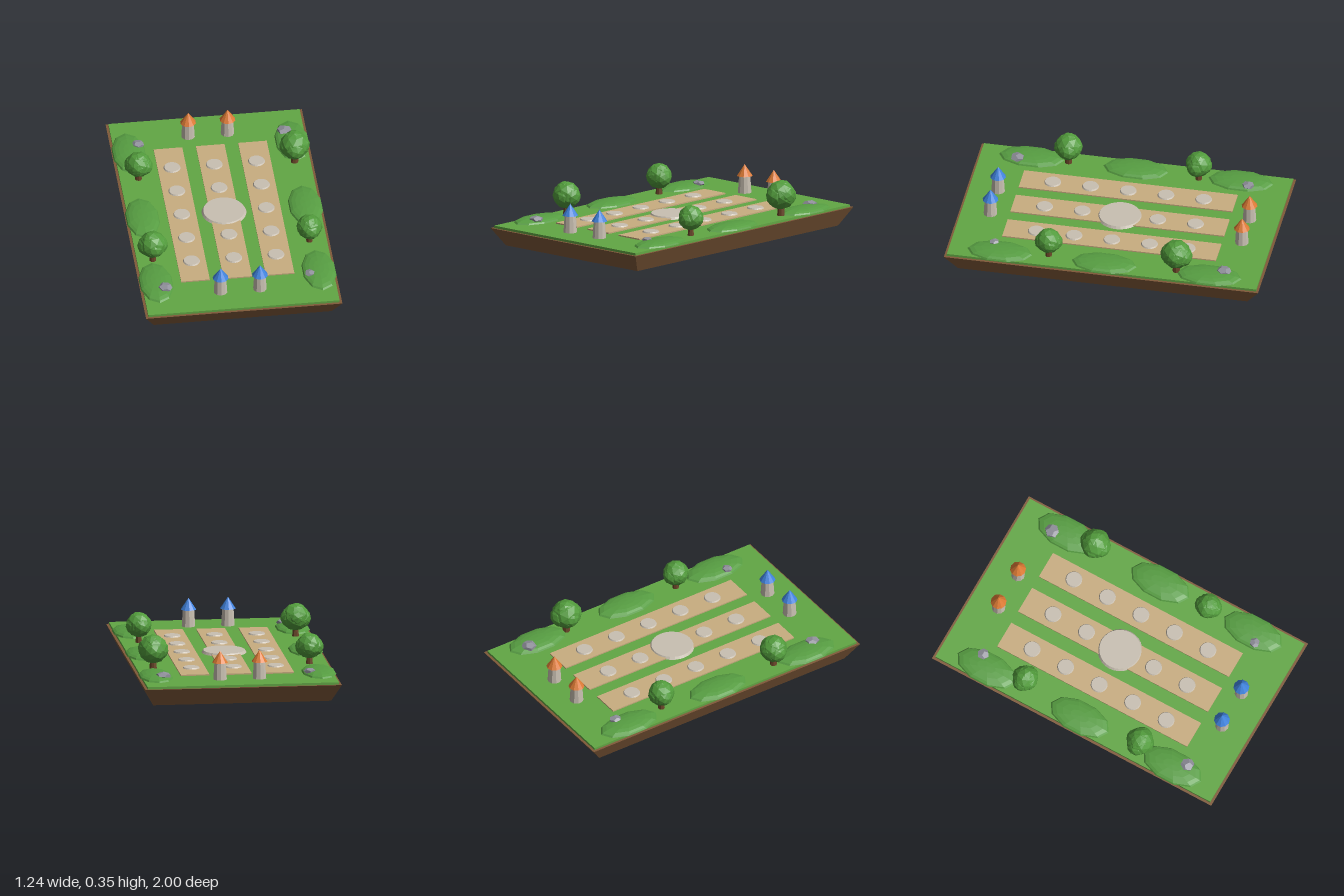
import * as THREE from 'three';

const material = (name, color, extra = {}) => {
  const m = new THREE.MeshStandardMaterial({ color, flatShading: true, ...extra });
  m.name = name;
  return m;
};

export function createModel() {
  const model = new THREE.Group();
  model.name = 'gardenArena';

  const soil = material('soil brown', 0x805a39);
  const grass = material('grass green', 0x62a744);
  const hill = material('hill green', 0x579e42);
  const leaf = material('leaf green', 0x529c3c);
  const bark = material('bark brown', 0x6b4629);
  const sand = material('sand', 0xc9ad80);
  const stone = material('pale stone', 0xc9c0b2);
  const blue = material('roof blue', 0x3f82dc);
  const orange = material('roof orange', 0xdc7a34);
  const rock = material('rock grey', 0x8f8f9a);

  const add = (parent, name, geometry, mat, x = 0, y = 0, z = 0) => {
    const mesh = new THREE.Mesh(geometry, mat);
    mesh.name = name;
    mesh.position.set(x, y, z);
    parent.add(mesh);
    return mesh;
  };

  // Soil slab, narrower at the bottom
  const slab = new THREE.BoxGeometry(1.236, 0.115, 2);
  const p = slab.attributes.position;
  for (let i = 0; i < p.count; i++) {
    if (p.getY(i) < 0) p.setXYZ(i, Math.sign(p.getX(i)) * 0.56, p.getY(i), Math.sign(p.getZ(i)) * 0.92);
  }
  slab.computeVertexNormals();
  add(model, 'soilBase', slab, soil, 0, 0.0575, 0);
  add(model, 'lawn', new THREE.BoxGeometry(1.204, 0.016, 1.968), grass, 0, 0.122, 0);

  // Three sandy lanes with round stone pads
  const padGeometry = new THREE.CylinderGeometry(0.048, 0.055, 0.011, 20);
  for (const x of [-0.266, 0, 0.266]) {
    add(model, 'lane', new THREE.BoxGeometry(0.18, 0.008, 1.36), sand, x, 0.134, 0);
    for (const z of [-0.48, -0.24, 0, 0.24, 0.48]) {
      add(model, 'stonePad', padGeometry, stone, x, 0.1405, z);
    }
  }
  add(model, 'centreDisc', new THREE.CylinderGeometry(0.13, 0.14, 0.016, 28), stone, 0, 0.138, 0);

  // Pairs of towers at both ends
  for (const [z, roof] of [[0.8, blue], [-0.8, orange]]) {
    for (const x of [-0.124, 0.124]) {
      const tower = new THREE.Group();
      tower.name = 'tower';
      tower.position.set(x, 0.13, z);
      add(tower, 'towerBody', new THREE.CylinderGeometry(0.036, 0.043, 0.11, 10), stone, 0, 0.055, 0);
      add(tower, 'towerRoof', new THREE.ConeGeometry(0.05, 0.074, 10), roof, 0, 0.144, 0);
      model.add(tower);
    }
  }

  // Low grassy hills along both long sides
  const hillGeometry = new THREE.SphereGeometry(1, 10, 5, 0, Math.PI * 2, 0, Math.PI / 2);
  for (const x of [-0.513, 0.513]) {
    for (const z of [-0.668, 0, 0.664]) {
      const mound = add(model, 'hill', hillGeometry, hill, x, 0.13, z);
      mound.rotation.y = Math.PI / 2;
      mound.scale.set(0.206, 0.03, 0.108);
    }
  }

  // Trees: a trunk and a crown of overlapping faceted lobes
  const lobes = [
    [0, 0, 0, 1], [0.36, -0.08, 0.12, 0.74], [-0.36, -0.05, -0.08, 0.74],
    [0.05, -0.05, -0.33, 0.72], [-0.1, 0.05, 0.32, 0.7], [0.08, 0.24, 0.02, 0.78],
  ];
  const trees = [
    [-0.487, -0.405, 0.94], [0.503, -0.458, 1.07], [-0.503, 0.426, 1], [0.492, 0.357, 0.92],
  ];
  trees.forEach(([x, z, size], n) => {
    const tree = new THREE.Group();
    tree.name = 'tree';
    tree.position.set(x, 0.13, z);
    tree.rotation.y = n * 1.7;
    tree.scale.setScalar(size);
    add(tree, 'trunk', new THREE.CylinderGeometry(0.016, 0.023, 0.08, 8), bark, 0, 0.04, 0);
    lobes.forEach(([lx, ly, lz, r], i) => {
      const lobe = add(tree, 'crownLobe', new THREE.IcosahedronGeometry(0.087 * r, 1), leaf,
        lx * 0.087, 0.122 + ly * 0.087, lz * 0.087);
      lobe.rotation.set(i, i * 0.7, 0);
    });
    model.add(tree);
  });

  // Rocks on the corner hills
  const rocks = [
    [-0.45, -0.727, 0.04], [0.476, -0.754, 0.048], [-0.466, 0.743, 0.046], [0.45, 0.712, 0.034],
  ];
  rocks.forEach(([x, z, r], i) => {
    const boulder = add(model, 'rock', new THREE.DodecahedronGeometry(r, 0), rock, x, 0.152, z);
    boulder.scale.y = 0.5;
    boulder.rotation.y = i * 1.3;
  });

  return model;
}
